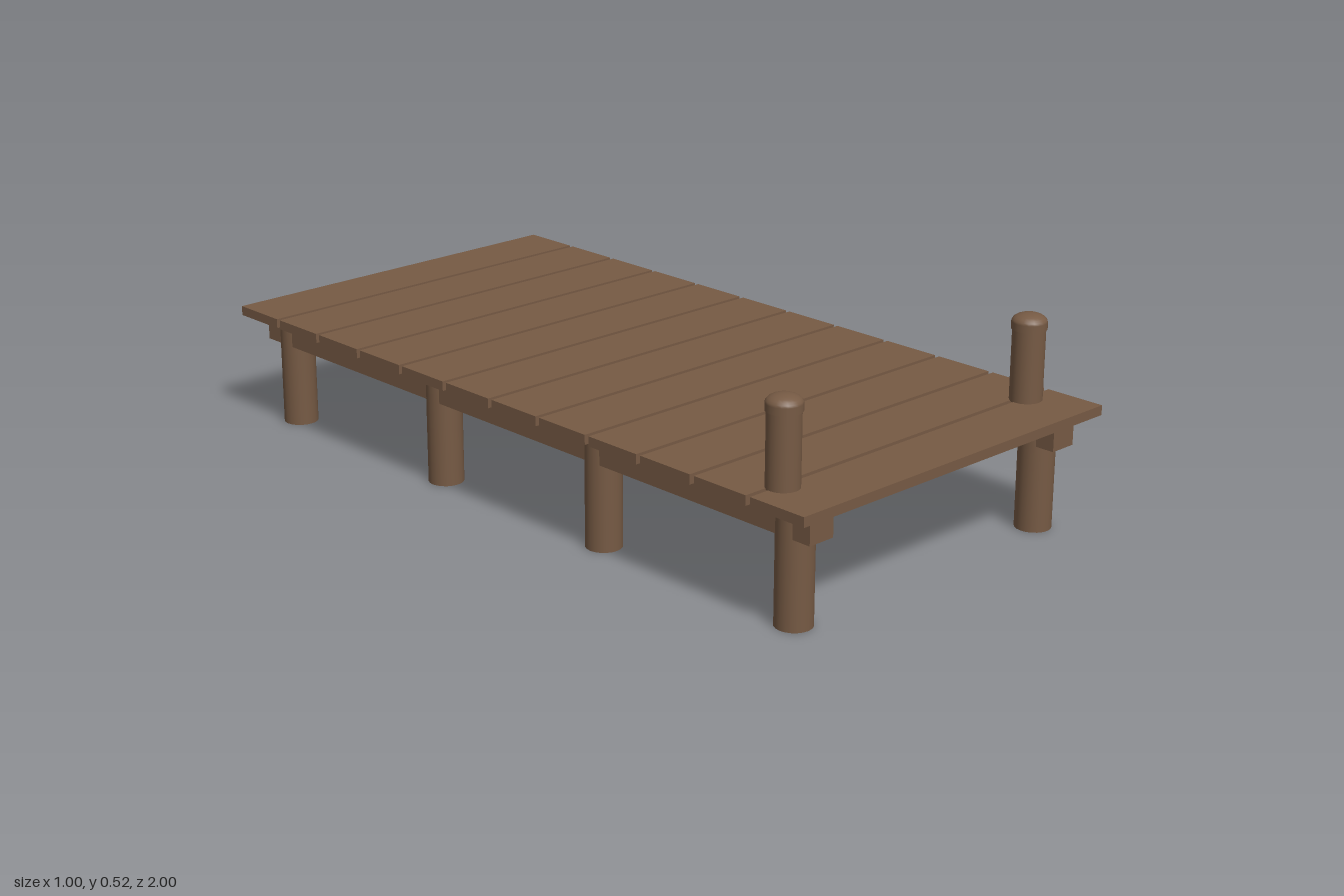
import * as THREE from 'three';

export function createModel() {
  const model = new THREE.Group();
  const wood = new THREE.MeshStandardMaterial({ color: 0x765a44 });
  wood.name = 'brownWood';

  const add = (name, geometry, x, y, z) => {
    const mesh = new THREE.Mesh(geometry, wood);
    mesh.name = name;
    mesh.position.set(x, y, z);
    model.add(mesh);
  };

  // Deck planks with narrow gaps
  const count = 12, depth = 0.155;
  const pitch = (2 - depth) / (count - 1);
  const plank = new THREE.BoxGeometry(1, 0.024, depth);
  for (let i = 0; i < count; i++) {
    add('plank', plank, 0, 0.294, -1 + depth / 2 + i * pitch);
  }

  const beam = new THREE.BoxGeometry(0.072, 0.068, 1.93);
  const pile = new THREE.CylinderGeometry(0.044, 0.044, 0.262, 20);
  const post = new THREE.CylinderGeometry(0.039, 0.039, 0.176, 20);

  // Mooring post cap: short rim, then a shallow dome
  const rim = new THREE.CylinderGeometry(0.042, 0.042, 0.017, 20);
  const dome = new THREE.SphereGeometry(0.042, 20, 6, 0, Math.PI * 2, 0, Math.PI / 2);
  dome.scale(1, 0.5, 1);

  for (const x of [-0.407, 0.407]) {
    // Long beams and the piles carrying them
    add('beam', beam, x, 0.248, 0);
    for (const z of [0.89, 0.289, -0.286, -0.889]) add('pile', pile, x, 0.131, z);

    // Mooring posts at the front end
    add('mooringPost', post, x, 0.392, 0.851);
    add('postCapRim', rim, x, 0.4865, 0.851);
    add('postCapDome', dome, x, 0.495, 0.851);
  }
  return model;
}
